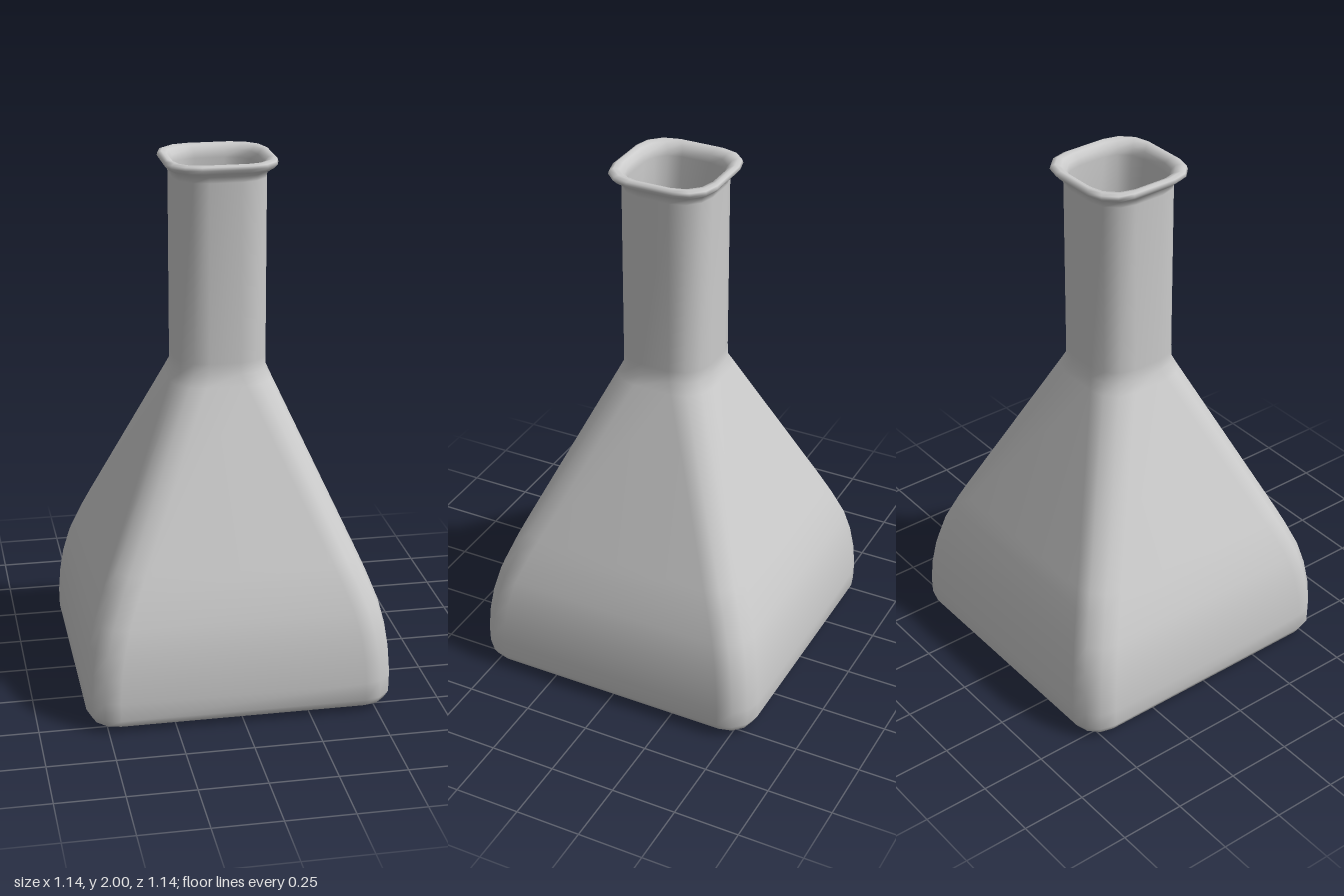
import * as THREE from 'three';

const CORNER_STEPS = 3;

// Rounded-square ring: four corner arcs joined by flat sides
function ring(half, y, radius) {
  const pts = [];
  const c = half - radius;
  for (let q = 0; q < 4; q++) {
    const mid = q * Math.PI / 2 + Math.PI / 4;
    for (let i = 0; i <= CORNER_STEPS; i++) {
      const a = q * Math.PI / 2 + (i / CORNER_STEPS) * Math.PI / 2;
      pts.push([
        Math.sign(Math.cos(mid)) * c + radius * Math.cos(a),
        y,
        Math.sign(Math.sin(mid)) * c + radius * Math.sin(a),
      ]);
    }
  }
  return pts;
}

// Skin a list of [half width, height, corner radius] rings
function loft(profile) {
  const n = 4 * (CORNER_STEPS + 1);
  const positions = profile.flatMap(([h, y, r]) => ring(h, y, r).flat());
  const index = [];
  for (let j = 0; j < profile.length - 1; j++) {
    for (let i = 0; i < n; i++) {
      const a = j * n + i, b = j * n + (i + 1) % n;
      index.push(a, a + n, b, b, a + n, b + n);
    }
  }
  const g = new THREE.BufferGeometry();
  g.setAttribute('position', new THREE.Float32BufferAttribute(positions, 3));
  g.setIndex(index);
  g.computeVertexNormals();
  return g;
}

export function createModel() {
  const group = new THREE.Group();
  group.name = 'squareFlask';
  const material = new THREE.MeshStandardMaterial({ color: 0xcccccc });

  const R = 0.115;
  const profile = [
    // underside and rounded foot
    [0, 0, 0], [0.49, 0, 0.035], [0.52, 0.006, 0.065], [0.552, 0.022, 0.097], [0.57, 0.052, R],
    // curved belly
    [0.571, 0.12, R], [0.565, 0.21, R], [0.552, 0.3, R], [0.53, 0.39, R], [0.49, 0.495, R],
    // sloping shoulder and straight neck
    [0.46, 0.565, R], [0.19, 1.175, R], [0.173, 1.215, R], [0.172, 1.26, R], [0.172, 1.93, R],
    // flared lip
    [0.176, 1.952, R], [0.194, 1.967, R], [0.206, 1.982, R], [0.203, 1.994, R], [0.192, 2, R],
    [0.175, 1.994, 0.11], [0.161, 1.977, 0.105], [0.155, 1.95, 0.1],
    // inner wall and floor
    [0.155, 1.22, 0.1], [0.472, 0.49, 0.1], [0.533, 0.3, 0.1], [0.552, 0.12, 0.1],
    [0.55, 0.055, 0.1], [0.52, 0.026, 0.07], [0.49, 0.02, 0.04], [0, 0.02, 0],
  ];
  const flask = new THREE.Mesh(loft(profile), material);
  flask.name = 'flaskBody';
  group.add(flask);
  return group;
}
